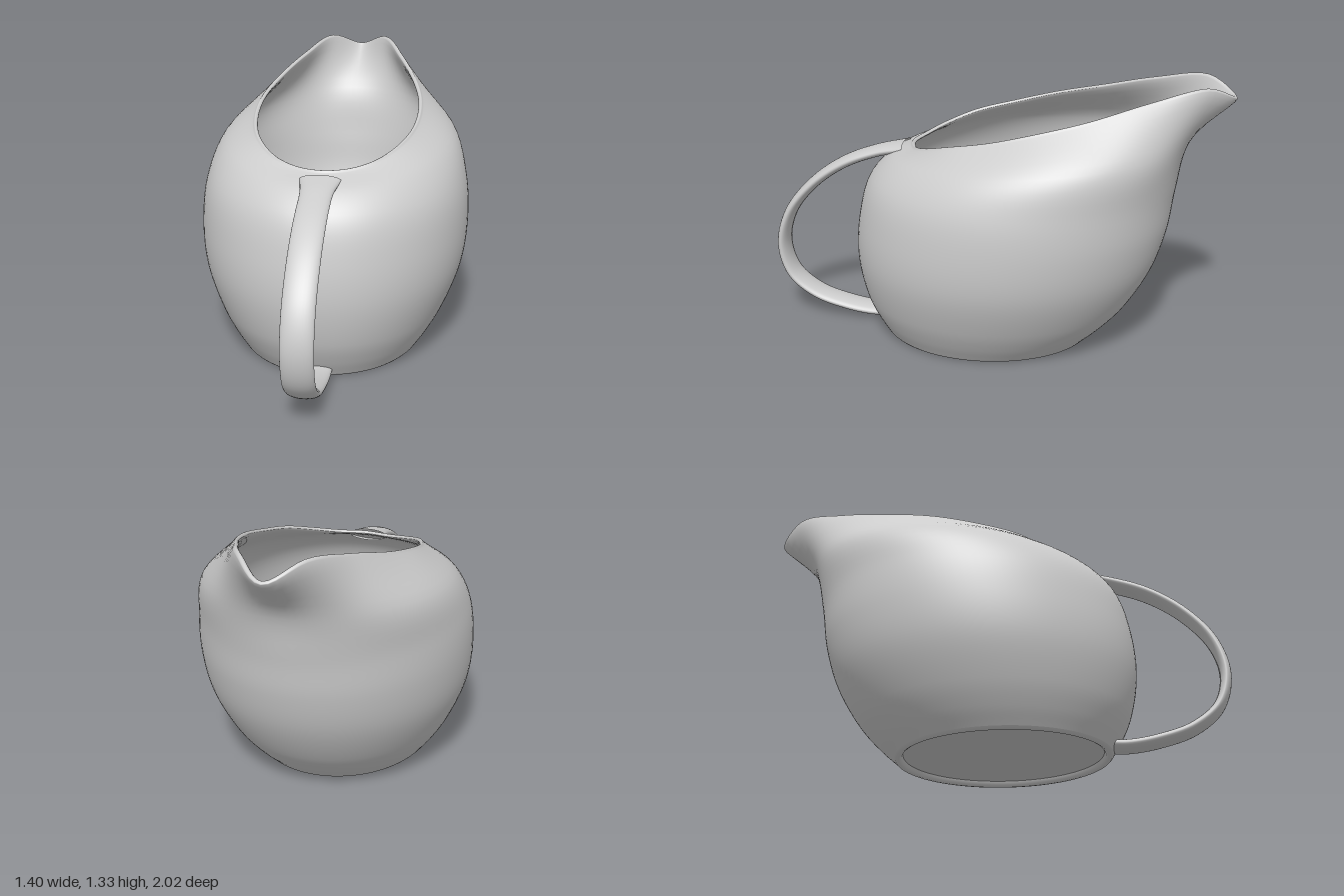
import * as THREE from 'three';

const SEG = 108;
const V = (x, y, z) => new THREE.Vector3(x, y, z);

// Surface from rows of points; every row is a closed loop
function loft(rows) {
  const n = rows[0].length, pos = [], idx = [];
  rows.forEach(r => r.forEach(p => pos.push(p.x, p.y, p.z)));
  for (let i = 0; i < rows.length - 1; i++) {
    for (let j = 0; j < n; j++) {
      const k = (j + 1) % n, a = i * n + j, b = i * n + k, c = a + n, d = b + n;
      idx.push(a, b, d, a, d, c);
    }
  }
  const g = new THREE.BufferGeometry();
  g.setAttribute('position', new THREE.Float32BufferAttribute(pos, 3));
  g.setIndex(idx);
  g.computeVertexNormals();
  return g;
}

// Body cross-sections: height, tilt, centre, half length, half width
const sections = [
  [0.012, 0, 0.045, 0.53, 0.45],
  [0.09, 0, 0.025, 0.595, 0.505],
  [0.2, 0, 0.0, 0.667, 0.567],
  [0.4, 0, -0.04, 0.743, 0.643],
  [0.6, 0, -0.077, 0.768, 0.666],
  [0.8, 0, -0.12, 0.755, 0.65],
  [0.98, 0.07, -0.2, 0.735, 0.585],
];
const oval = ([y, tilt, c, a, b], th, inset = 0) =>
  V((b - inset) * Math.sin(th), y - tilt * Math.cos(th), c + (a - inset) * Math.cos(th));

// Rim from the handle to the spout tip: half width, height, length
const halfRim = [
  [0, 0.97, 0.42], [0.13, 0.975, 0.385], [0.245, 1.0, 0.31], [0.345, 1.045, 0.17],
  [0.4, 1.09, -0.03], [0.405, 1.145, -0.25], [0.36, 1.2, -0.48],
  [0.26, 1.275, -0.75], [0.145, 1.325, -1.0], [0, 1.26, -1.125],
];
const rimCurve = new THREE.CatmullRomCurve3([
  ...halfRim.map(p => V(...p)),
  ...halfRim.slice(1, -1).reverse().map(([x, y, z]) => V(-x, y, z)),
], true);

// Wall: up the outside, over the rim, down the inside to the floor
function wallRows() {
  const columns = [];
  for (let j = 0; j < SEG; j++) {
    const t = j / SEG, th = t * Math.PI * 2;
    const rim = rimCurve.getPoint(t);
    const tan = rimCurve.getPoint((t + 0.004) % 1).sub(rimCurve.getPoint((t + 0.996) % 1));
    const out = V(tan.z, 0, -tan.x).normalize().multiplyScalar(-1);
    const lip = s => rim.clone().addScaledVector(out, s * 0.013).setY(rim.y - 0.012);
    const inner = sections.slice(1).reverse().map(s => oval(s, th, 0.035));
    const curve = new THREE.CatmullRomCurve3([
      ...sections.map(s => oval(s, th)), lip(1), rim, lip(-1), ...inner,
      oval([0.035, 0, 0.045, 0.53, 0.45], th, 0.02),
    ]);
    columns.push(curve.getPoints((curve.points.length - 1) * 6));
  }
  return columns[0].map((_, i) => columns.map(c => c[i]));
}

const flatRow = (y, inset, scale = 1) => Array.from({ length: SEG }, (_, j) =>
  oval([y, 0, 0.045, (0.53 - inset) * scale, (0.45 - inset) * scale], j / SEG * Math.PI * 2));

// Flattened strap swept along a curve in the symmetry plane
function handleGeometry() {
  const path = new THREE.CatmullRomCurve3([
    [0.935, 0.46], [0.905, 0.6], [0.835, 0.78], [0.715, 0.95], [0.555, 1.08], [0.38, 1.128],
    [0.22, 1.085], [0.115, 0.96], [0.06, 0.79], [0.04, 0.65], [0.045, 0.555],
  ].map(([y, z]) => V(0, y, z)));
  const rows = [], N = 72, M = 28;
  for (let i = 0; i <= N; i++) {
    const t = i / N, p = path.getPoint(t), d = path.getTangent(t);
    const w = 0.074 + 0.025 * Math.max(0, 1 - t / 0.13) ** 2;
    rows.push(Array.from({ length: M }, (_, j) => {
      const a = j / M * Math.PI * 2, h = 0.028 * Math.sin(a);
      return V(w * Math.cos(a), p.y + d.z * h, p.z - d.y * h);
    }));
  }
  return loft(rows);
}

export function createModel() {
  const glaze = new THREE.MeshStandardMaterial({ color: 0xcccccc, side: THREE.DoubleSide });
  glaze.name = 'greyGlaze';
  const jug = new THREE.Group();
  jug.name = 'jug';
  const add = (name, geometry) => {
    const m = new THREE.Mesh(geometry, glaze);
    m.name = name;
    jug.add(m);
  };

  add('bodyWall', loft(wallRows()));
  add('innerFloor', loft([flatRow(0.035, 0.02), flatRow(0.035, 0.02, 0.5), flatRow(0.035, 0, 0)]));
  // Recessed underside with a rounded foot ring
  add('underside', loft([flatRow(0.025, 0, 0), flatRow(0.025, 0.045)]));
  add('footRing', loft([flatRow(0.025, 0.045), flatRow(0.008, 0.038), flatRow(0, 0.025),
    flatRow(0.002, 0.01), flatRow(0.012, 0)]));
  add('handle', handleGeometry());

  // The jug stands turned, spout to the back right
  jug.rotation.y = Math.PI / 6;
  jug.position.set(0.039, 0, -0.0225);
  const model = new THREE.Group();
  model.name = 'pouringJug';
  model.add(jug);
  return model;
}
